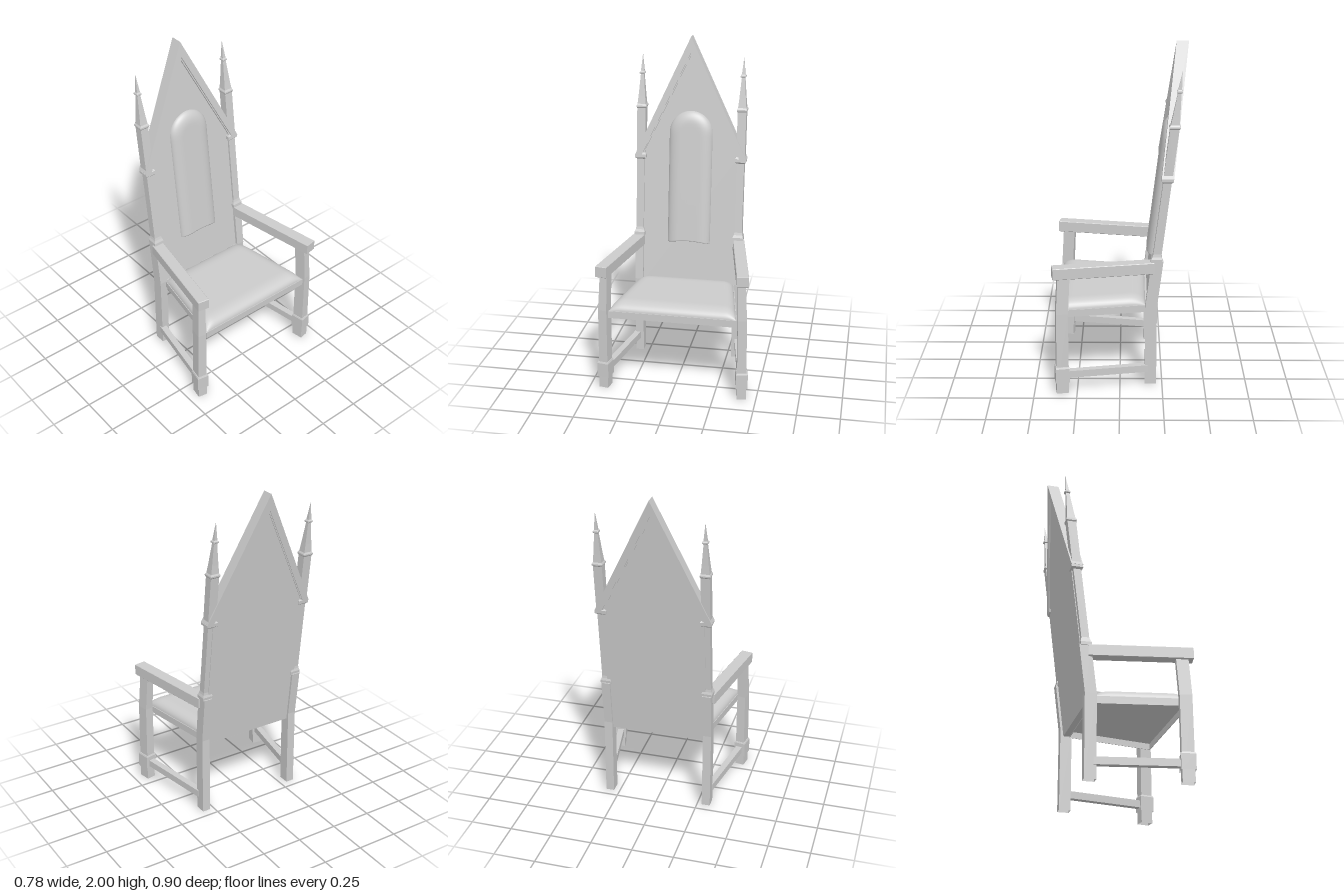
import * as THREE from 'three';

const flat = new THREE.MeshStandardMaterial({ color: 0xcccccc, flatShading: true });
const open = new THREE.MeshStandardMaterial({ color: 0xcccccc, flatShading: true, side: THREE.DoubleSide });
const soft = new THREE.MeshStandardMaterial({ color: 0xcccccc, side: THREE.DoubleSide });

// Centre line of the reclining back
const backX = y => -0.212 - 0.12 * (y - 0.81);
const HALF_SPAN = 0.307;

function mesh(parent, name, geometry, material = flat) {
  const m = new THREE.Mesh(geometry, material);
  m.name = name;
  parent.add(m);
  return m;
}

// Shear a geometry so that it follows the reclining back
function lean(geometry) {
  const p = geometry.attributes.position;
  for (let i = 0; i < p.count; i++) p.setX(i, p.getX(i) + backX(p.getY(i)));
  geometry.computeVertexNormals();
  return geometry;
}

// Square bar through sections [y, x, z, widthX, widthZ], turned about y
function bar(sections, turn = 0) {
  const n = sections.length - 1;
  const g = new THREE.BoxGeometry(1, n, 1, 1, n, 1);
  const p = g.attributes.position;
  const c = Math.cos(turn), s = Math.sin(turn);
  for (let i = 0; i < p.count; i++) {
    const [y, x, z, wx, wz] = sections[Math.round(p.getY(i) + n / 2)];
    const a = p.getX(i) * wx, b = p.getZ(i) * wz;
    p.setXYZ(i, x + a * c + b * s, y, z - a * s + b * c);
  }
  g.computeVertexNormals();
  return g;
}

// Leave out the bottom face of a bar
function openBelow(g) {
  const bottom = g.groups[3];
  const kept = Array.from(g.index.array)
    .filter((_, i) => i < bottom.start || i >= bottom.start + bottom.count);
  g.setIndex(kept);
  g.clearGroups();
  return g;
}

// Four-sided turned profile of [halfWidth, y] points
function squareLathe(profile) {
  const pts = profile.map(([w, y]) => new THREE.Vector2(w * Math.SQRT2, y));
  return new THREE.LatheGeometry(pts, 4, Math.PI / 4);
}

const toPoints = list => list.map(p => new THREE.Vector2(...p));

// Outline in (-z, y) extruded along x between two offsets from the back's centre line
function backSlab(outline, from, to) {
  const g = new THREE.ExtrudeGeometry(new THREE.Shape(toPoints(outline)),
    { depth: to - from, bevelEnabled: false });
  g.translate(0, 0, from).rotateY(Math.PI / 2);
  return lean(g);
}

// Outline in (x, z) extruded upwards from y, with an optional hole
function floorSlab(outline, y, depth, hole) {
  const shape = new THREE.Shape(toPoints(outline));
  if (hole) shape.holes.push(new THREE.Path(toPoints(hole)));
  const g = new THREE.ExtrudeGeometry(shape, { depth, bevelEnabled: false });
  return g.rotateX(-Math.PI / 2).translate(0, y, 0);
}

// Rounded shoulder: 0 at the edge, 1 once t reaches 1
const shoulder = t => Math.sqrt(Math.max(0, 1 - (1 - Math.min(Math.max(t, 0), 1)) ** 2));

// Grid with (u, v) in -1..1, denser towards its borders, placed by a rule
function pad(n, rule) {
  const g = new THREE.PlaneGeometry(2, 2, n, n);
  const p = g.attributes.position;
  for (let i = 0; i < p.count; i++) {
    const u = Math.sin(p.getX(i) * Math.PI / 2), v = Math.sin(p.getY(i) * Math.PI / 2);
    p.setXYZ(i, ...rule(u, v));
  }
  g.computeVertexNormals();
  return g;
}

function addSide(chair, side) {
  const group = new THREE.Group();
  group.name = side > 0 ? 'leftSide' : 'rightSide';
  const turn = -side * 0.175;
  const zr = side * HALF_SPAN;

  // Rear leg, kinked at the seat and hollow below
  mesh(group, 'rearLeg', openBelow(bar([
    [0.01, -0.181, zr, 0.068, 0.05],
    [0.5, -0.181, zr, 0.068, 0.05],
    [0.785, -0.215, zr, 0.068, 0.052],
  ])), open);

  // Front leg, hollow below, with its foot block
  mesh(group, 'frontLeg', openBelow(bar([
    [0, 0.338, side * 0.41, 0.07, 0.056],
    [0.5, 0.336, side * 0.408, 0.07, 0.052],
    [0.72, 0.324, side * 0.4, 0.07, 0.044],
  ], turn)), open);
  mesh(group, 'footBlock', openBelow(bar([
    [0.07, 0.338, side * 0.41, 0.082, 0.07],
    [0.158, 0.338, side * 0.41, 0.082, 0.07],
    [0.168, 0.338, side * 0.41, 0.074, 0.062],
  ], turn)), open);

  // Arm with lightly chamfered edges
  const arm = (y, d) => [y, 0.097, side * 0.362, 0.588 - d, 0.07 - d];
  mesh(group, 'armrest', bar([
    arm(0.715, 0.006), arm(0.718, 0), arm(0.78, 0), arm(0.783, 0.006),
  ], turn));

  mesh(group, 'sideStretcher', bar([
    [0.09, 0.075, side * 0.36, 0.48, 0.038],
    [0.133, 0.075, side * 0.36, 0.48, 0.038],
  ], turn));

  // Slim post with collars, rising into a pinnacle
  const pinnacle = squareLathe([
    [0, 0.78], [0.032, 0.78], [0.032, 0.8], [0.026, 0.815], [0.023, 0.83],
    [0.023, 1.255], [0.034, 1.265], [0.034, 1.285], [0.026, 1.295],
    [0.026, 1.565], [0.031, 1.572], [0.031, 1.58], [0.025, 1.59], [0.02, 1.64],
    [0.01, 1.765], [0.016, 1.77], [0.016, 1.778], [0.01, 1.785], [0.0005, 1.885],
  ]);
  pinnacle.translate(0, 0, zr);
  mesh(group, 'pinnaclePost', lean(pinnacle));
  chair.add(group);
}

export function createModel() {
  const chair = new THREE.Group();
  chair.name = 'gothicArmchair';

  for (const side of [1, -1]) addSide(chair, side);

  // Back panel, set behind the faces of the posts
  mesh(chair, 'backPanel', backSlab(
    [[-0.3, 0.46], [0.3, 0.46], [0.3, 1.3], [-0.01, 1.93], [-0.3, 1.3]], -0.027, 0.011));

  // Pointed gable and the thinner moulding inside it
  const chevron = (outerZ, outerTop, innerZ, innerTop) => [
    [-outerZ, 1.28], [-innerZ, 1.28], [-0.01, innerTop],
    [innerZ, 1.28], [outerZ, 1.28], [-0.01, outerTop]];
  mesh(chair, 'gable', backSlab(chevron(0.343, 2, 0.302, 1.905), -0.035, 0.035));
  mesh(chair, 'gableMoulding', backSlab(chevron(0.304, 1.91, 0.295, 1.888), -0.031, 0.024));

  // Arched back cushion with a cut lower end
  const archY = 1.426, r = 0.132, footY = 0.747;
  mesh(chair, 'backCushion', pad(36, (u, v) => {
    const y0 = footY + (v + 1) / 2 * (archY + r - footY);
    const half = y0 > archY ? Math.sqrt(Math.max(0, r * r - (y0 - archY) ** 2)) : r;
    const z = u * half;
    const edge = y0 > archY ? r - Math.hypot(z, y0 - archY) : r - Math.abs(z);
    const y = y0 + 0.018 * (1 - u * u) * (1 - v) / 2;
    const bulge = 0.04 * shoulder(edge / 0.07) * shoulder((y0 - footY) / 0.001);
    return [backX(y) + 0.008 + bulge, y, -z];
  }), soft);

  // Thin-walled trapezoid seat frame, open below, with a board under the cushion
  const x0 = -0.16, x1 = 0.367;
  const halfAt = x => 0.29 + 0.09 * (x - x0) / (x1 - x0);
  const trapezoid = d => [
    [x0 + d, d - halfAt(x0 + d)], [x1 - d, d - halfAt(x1 - d)],
    [x1 - d, halfAt(x1 - d) - d], [x0 + d, halfAt(x0 + d) - d]];
  mesh(chair, 'seatFrame', floorSlab(trapezoid(0), 0.456, 0.043, trapezoid(0.004)));
  mesh(chair, 'seatBoard', floorSlab(trapezoid(0.004), 0.494, 0.004));

  // Domed seat cushion, just inside the frame
  const c0 = x0 + 0.012, c1 = x1 - 0.004;
  mesh(chair, 'seatCushion', pad(36, (u, v) => {
    const x = (c0 + c1) / 2 + u * (c1 - c0) / 2;
    const half = halfAt(x) - 0.004;
    const z = -v * half;
    const rise = shoulder((x - c0) / 0.1) * shoulder((c1 - x) / 0.085)
      * shoulder((half - Math.abs(z)) / 0.07);
    return [x, 0.498 + 0.053 * rise, z];
  }), soft);

  return chair;
}
